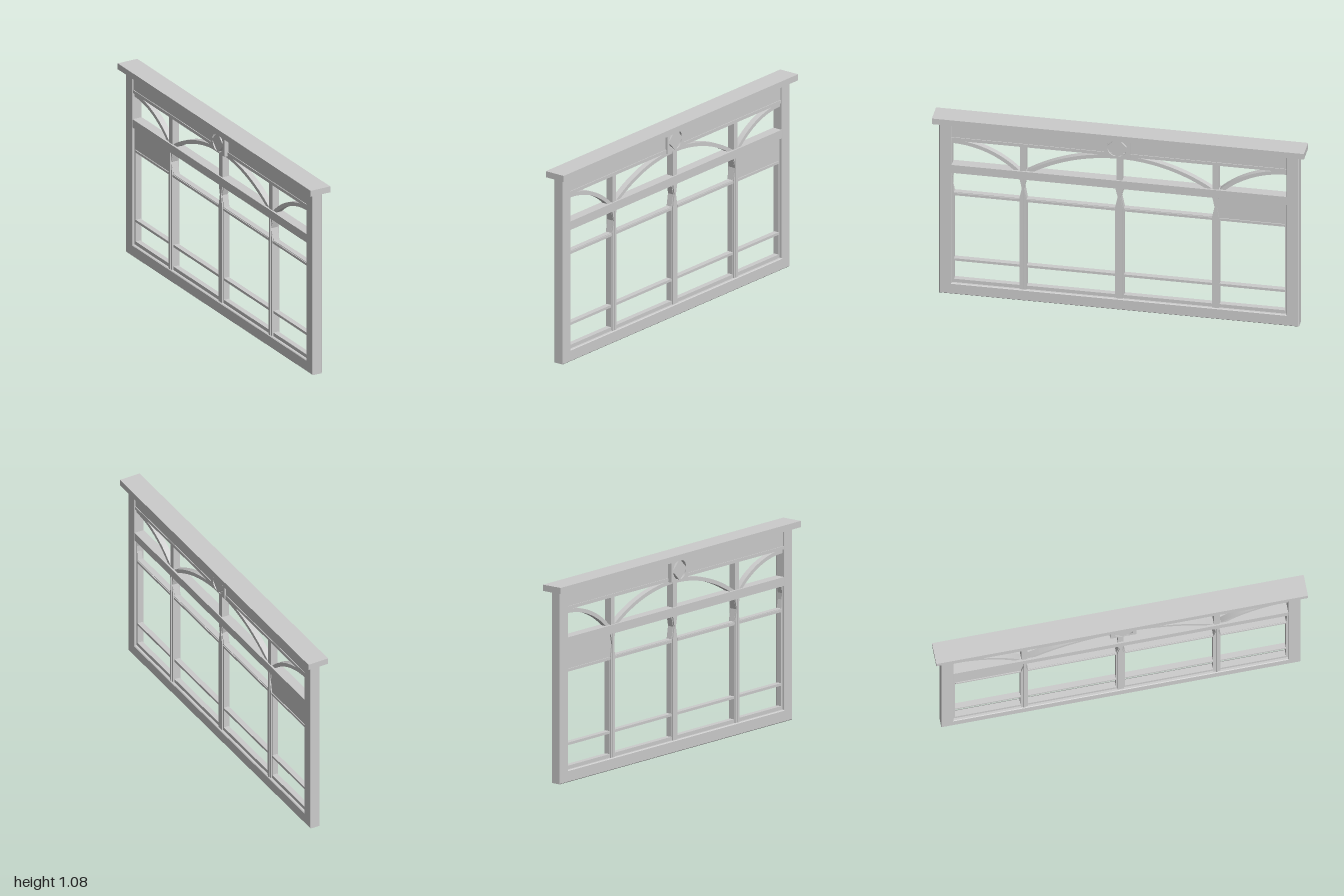
import * as THREE from 'three';

const material = new THREE.MeshStandardMaterial({ color: 0xcccccc, flatShading: true });

// Polygon from [z, y] pairs
const poly = (pts, Type = THREE.Shape) => new Type(pts.map(([z, y]) => new THREE.Vector2(z, y)));
const rect = (z0, z1, y0, y1, Type) => poly([[z0, y0], [z1, y0], [z1, y1], [z0, y1]], Type);

export function createModel() {
  const group = new THREE.Group();

  // Extrude a shape drawn in the z/y plane between x0 and x1
  function slab(name, shape, x0, x1, bevel = 0) {
    const geo = new THREE.ExtrudeGeometry(shape, {
      depth: x1 - x0 - 2 * bevel, curveSegments: 20,
      bevelEnabled: bevel > 0, bevelThickness: bevel, bevelSize: bevel, bevelOffset: -bevel, bevelSegments: 1,
    });
    geo.translate(0, 0, -x1 + bevel);
    geo.rotateY(-Math.PI / 2);
    const mesh = new THREE.Mesh(geo, material);
    mesh.name = name;
    group.add(mesh);
  }
  const bar = (name, z0, z1, y0, y1, half) => slab(name, rect(z0, z1, y0, y1), -half, half);

  // Outer frame: two posts and the bottom rail in one chamfered U
  slab('outerFrame', poly([
    [-0.967, 0], [0.967, 0], [0.967, 1.05], [0.9, 1.05],
    [0.9, 0.065], [-0.9, 0.065], [-0.9, 1.05], [-0.967, 1.05],
  ]), -0.03, 0.03, 0.004);

  // Cornice, header board and its lower moulding
  bar('cornice', -1, 1, 1.043, 1.077, 0.06);
  bar('header', -0.905, 0.905, 0.945, 1.045, 0.021);
  bar('headerMoulding', -0.905, 0.905, 0.935, 0.953, 0.025);

  // Sash panel with three openings in each bay
  const bays = [[0.538, 0.89], [0.024, 0.498], [-0.498, -0.024], [-0.89, -0.538]];
  const sash = rect(-0.902, 0.902, 0.062, 0.785);
  for (const [a, b] of bays) {
    sash.holes.push(rect(a, b, 0.085, 0.196, THREE.Path));
    sash.holes.push(rect(a, b, 0.21, 0.595, THREE.Path));
    sash.holes.push(poly([
      [a, 0.615], [b, 0.615], [b + 0.014, 0.68], [b, 0.737], [a, 0.737], [a - 0.014, 0.68],
    ], THREE.Path));
  }
  slab('sash', sash, -0.015, 0.015);

  // Transom and middle rail
  bar('transom', -0.902, 0.902, 0.738, 0.786, 0.028);
  for (const [a, b] of bays) bar('middleRail', a, b, 0.599, 0.612, 0.02);

  // Mullions, pinched below the transom, with narrow stems above it
  for (const z of [-0.518, 0, 0.518]) {
    const w = 0.018, n = 0.006;
    slab('mullion', poly([
      [z - w, 0.064], [z + w, 0.064], [z + w, 0.615], [z + n, 0.68], [z + w, 0.737],
      [z - w, 0.737], [z - n, 0.68], [z - w, 0.615],
    ]), -0.022, 0.022);
    if (z) bar('mullionBead', z - 0.005, z + 0.005, 0.066, 0.74, 0.027);
    bar('upperStem', z - 0.016, z + 0.016, 0.78, 0.94, 0.02);
  }

  // Arched braces: circular bands with the crown at (crownZ, 0.935)
  function arch(name, crownZ, span, drop, sides) {
    const R = (span * span + drop * drop) / (2 * drop), r = R - 0.021, cy = 0.935 - R;
    const edge = (rad) => Math.acos((0.782 - cy) / rad);
    const shape = new THREE.Shape();
    const out = edge(R), inn = edge(r);
    const [o0, o1, i0, i1] = sides === 0 ? [-out, out, -inn, inn]
      : sides > 0 ? [0, out, 0, inn] : [-out, 0, -inn, 0];
    shape.absarc(crownZ, cy, R, Math.PI / 2 + o0, Math.PI / 2 + o1, false);
    shape.absarc(crownZ, cy, r, Math.PI / 2 + i1, Math.PI / 2 + i0, true);
    slab(name, shape, -0.016, 0.016);
  }
  arch('centreArch', 0, 0.505, 0.153, 0);
  arch('sideArch', 0.905, 0.37, 0.153, 1);
  arch('sideArch', -0.905, 0.37, 0.153, -1);

  // Square rosette with four quarter-round recesses
  const cz = 0.01, cy = 0.99, gap = 0.006, r = 0.052;
  const rosette = rect(cz - 0.07, cz + 0.07, 0.932, 1.045);
  for (let i = 0; i < 4; i++) {
    const a = (i * Math.PI) / 2;
    const c = a + Math.PI / 4;
    const px = cz + gap * Math.SQRT2 * Math.cos(c), py = cy + gap * Math.SQRT2 * Math.sin(c);
    const hole = new THREE.Path();
    hole.moveTo(px, py);
    hole.absarc(px, py, r - gap, a, a + Math.PI / 2, false);
    hole.closePath();
    rosette.holes.push(hole);
  }
  slab('rosette', rosette, -0.045, 0.032);

  return group;
}
